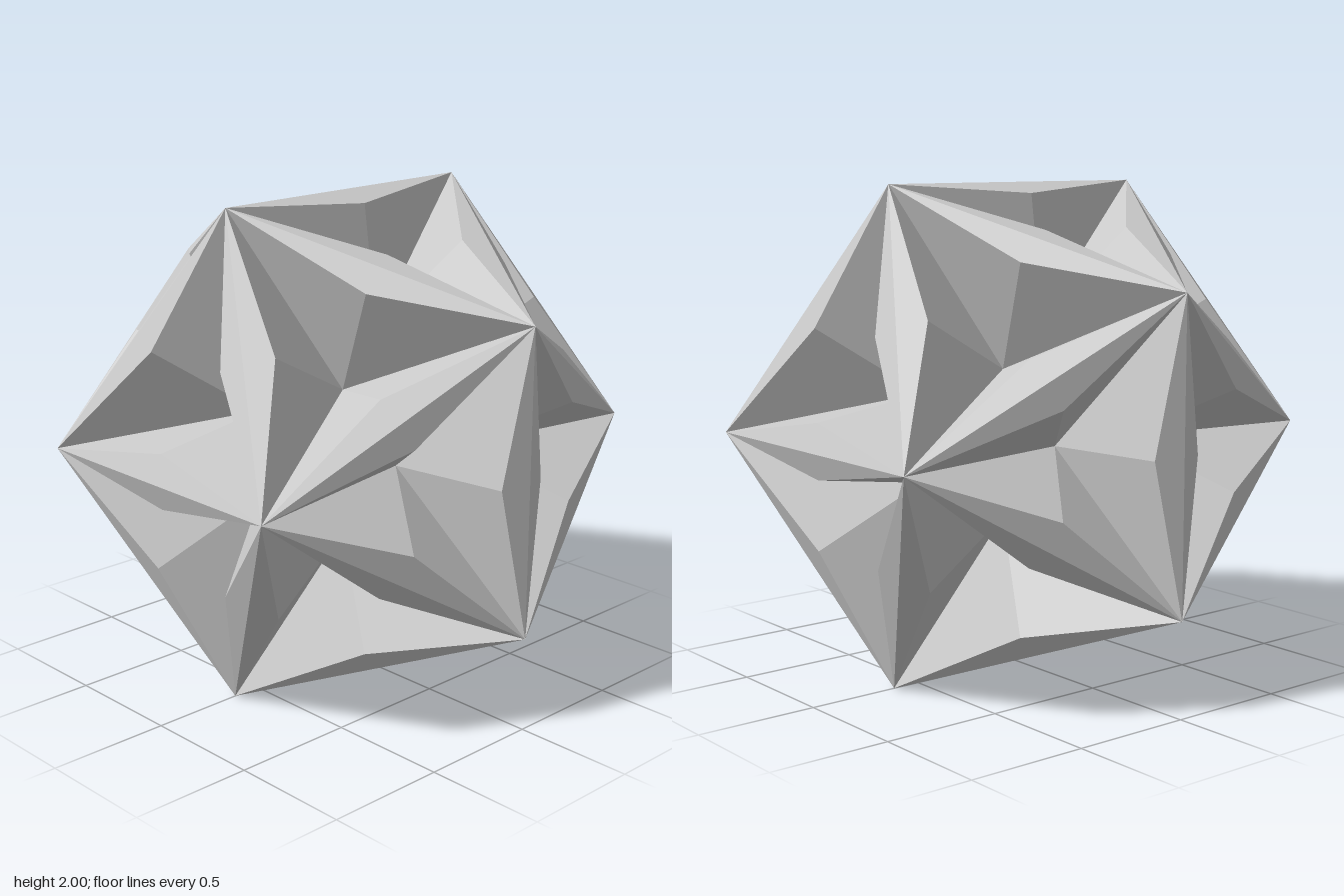
import * as THREE from 'three';

const RADIUS = Math.hypot(1, (Math.sqrt(5) - 1) / 2); // icosahedron that spans 2 units
const RIM = 1 / 3;  // width of the flat rim, from edge middle to face centre
const PIT = 0.54;   // distance of the pit bottom, relative to the face centre

// Replaces one triangle with three thin rim slivers around a star-shaped pit
function addPittedFace(out, corners) {
  const centre = new THREE.Vector3();
  corners.forEach((c) => centre.addScaledVector(c, 1 / 3));
  const pit = centre.clone().multiplyScalar(PIT);
  corners.forEach((a, i) => {
    const b = corners[(i + 1) % 3];
    const rim = a.clone().lerp(b, 0.5).lerp(centre, RIM);
    out.push(a, b, rim);   // flat rim along the edge
    out.push(a, rim, pit); // two pit walls below it
    out.push(rim, b, pit);
  });
}

export function createModel() {
  const base = new THREE.IcosahedronGeometry(RADIUS, 0);
  base.rotateY(Math.PI / 2);
  const pos = base.attributes.position;

  const points = [];
  for (let i = 0; i < pos.count; i += 3) {
    addPittedFace(points, [0, 1, 2].map((k) => new THREE.Vector3().fromBufferAttribute(pos, i + k)));
  }

  const geometry = new THREE.BufferGeometry().setFromPoints(points);
  geometry.computeVertexNormals();

  const star = new THREE.Mesh(
    geometry,
    new THREE.MeshStandardMaterial({ color: 0xcccccc, flatShading: true })
  );
  star.name = 'pittedIcosahedron';
  star.position.y = 1;

  const group = new THREE.Group();
  group.name = 'starPolyhedron';
  group.add(star);
  return group;
}
